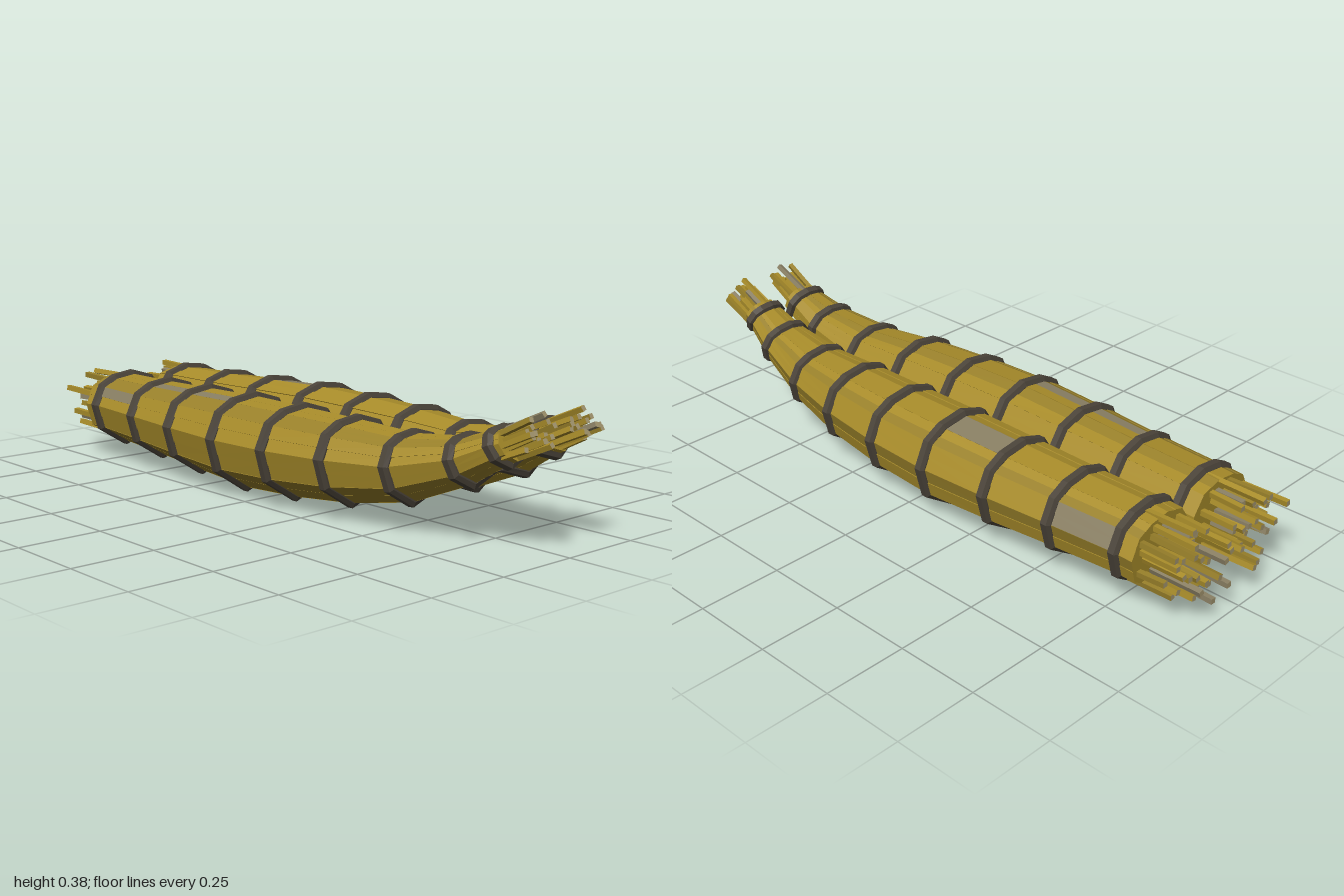
import * as THREE from 'three';

const mat = (name, color) => {
  const m = new THREE.MeshStandardMaterial({ color, flatShading: true });
  m.name = name;
  return m;
};

// stations along a bundle: z, centre x, half width, centre y, half height, tilt
const STATIONS = [
  [-0.83, 0.13, 0.126, 0.165, 0.113, 0],
  [-0.77, 0.13, 0.127, 0.167, 0.115, 0],
  [-0.55, 0.137, 0.133, 0.163, 0.122, 0],
  [-0.33, 0.145, 0.143, 0.16, 0.132, 0],
  [-0.10, 0.151, 0.149, 0.157, 0.142, 0],
  [0.12, 0.147, 0.145, 0.16, 0.135, 0],
  [0.34, 0.135, 0.132, 0.167, 0.122, 0.03],
  [0.55, 0.116, 0.108, 0.18, 0.096, 0.1],
  [0.74, 0.097, 0.082, 0.228, 0.066, 0.25],
  [0.85, 0.087, 0.062, 0.28, 0.05, 0.44],
  [0.88, 0.086, 0.058, 0.292, 0.047, 0.44],
];

// faceted cross-section, flattened on the inner side
const PROFILE = [
  [1, 0.15], [0.77, 0.66], [0.4, 0.87], [-0.15, 0.95], [-0.68, 0.77],
  [-0.98, 0.3], [-0.98, -0.57], [0.1, -1], [0.83, -0.5],
];

function seeded(seed) {
  return () => (seed = (seed * 16807) % 2147483647) / 2147483647;
}

// point at (u, v) of a station's section, grown outwards and moved along the bundle
function place(s, u, v, side, grow = 0, along = 0) {
  const [z, cx, rx, cy, ry, tilt] = s;
  const h = v * (ry + grow), c = Math.cos(tilt), n = Math.sin(tilt);
  return new THREE.Vector3(
    side * (cx + u * (rx + grow * 0.85)), cy + h * c + along * n, z - h * n + along * c);
}

// loft between rings of points; pick(i, j) chooses the bucket of each face
function loft(rings, flip, pick) {
  const buckets = {};
  const tri = (k, a, b, c) => {
    const list = (buckets[k] ??= []);
    for (const p of flip ? [a, c, b] : [a, b, c]) list.push(p.x, p.y, p.z);
  };
  const n = rings[0].length;
  for (let i = 0; i < rings.length - 1; i++) {
    for (let j = 0; j < n; j++) {
      const k = (j + 1) % n, a = rings[i], b = rings[i + 1], key = pick(i, j);
      tri(key, a[j], a[k], b[k]);
      tri(key, a[j], b[k], b[j]);
    }
  }
  // closed ends
  const centre = r => r.reduce((s, p) => s.add(p), new THREE.Vector3()).divideScalar(n);
  const first = rings[0], last = rings[rings.length - 1];
  const c0 = centre(first), c1 = centre(last);
  for (let j = 0; j < n; j++) {
    const k = (j + 1) % n;
    tri(pick(0, -1), c0, first[k], first[j]);
    tri(pick(0, -1), c1, last[j], last[k]);
  }
  return buckets;
}

function addMesh(group, name, positions, material) {
  const g = new THREE.BufferGeometry();
  g.setAttribute('position', new THREE.Float32BufferAttribute(positions, 3));
  g.computeVertexNormals();
  const m = new THREE.Mesh(g, material);
  m.name = name;
  group.add(m);
}

export function createModel() {
  const gold = mat('goldenReed', 0xa88c2a);
  const brown = mat('darkReed', 0x98802a);
  const grey = mat('greyReed', 0x8a8064);
  const rope = mat('darkRope', 0x4b443a);
  const tip = mat('cutReed', 0xa89a72);
  const reeds = { gold, brown, grey };
  const model = new THREE.Group();
  model.name = 'reedBoat';

  for (const side of [1, -1]) {
    const rand = seeded(side > 0 ? 1234 : 987);
    const bundle = new THREE.Group();
    bundle.name = side > 0 ? 'leftBundle' : 'rightBundle';
    model.add(bundle);

    // bundle body: two planks of reed per facet with tiny steps between them
    const outline = [], tones = [];
    PROFILE.forEach((p, f) => {
      const q = PROFILE[(f + 1) % PROFILE.length];
      const mid = [(p[0] + q[0]) / 2, (p[1] + q[1]) / 2];
      for (const [a, b] of [[p, mid], [mid, q]]) {
        const s = 0.97 + 0.03 * rand();
        outline.push([a[0] * s, a[1] * s], [b[0] * s, b[1] * s]);
        tones.push(rand() < 0.3 ? 'brown' : 'gold');
      }
    });
    const greyFaces = side > 0 ? ['0,1', '1,1', '4,3', '5,3'] : ['4,2', '4,3', '1,1'];
    const body = loft(
      STATIONS.map(s => outline.map(([u, v]) => place(s, u, v, side))), side < 0,
      (i, j) => {
        if (j < 0) return 'gold';
        const plank = Math.floor(j / 2);
        return greyFaces.includes(`${plank},${i}`) ? 'grey' : tones[plank];
      });
    for (const key in body) addMesh(bundle, `${key}Planks`, body[key], reeds[key]);

    // rope bands with bevelled edges
    for (const s of STATIONS.slice(1, -1)) {
      const rings = [[-0.017, -0.002], [-0.01, 0.012], [0.01, 0.012], [0.017, -0.002]].map(
        ([t, g]) => PROFILE.map(([u, v]) => place(s, u, v, side, g, t)));
      addMesh(bundle, 'ropeBand', loft(rings, side < 0, () => 'rope').rope, rope);
    }

    // loose reed ends
    const addReeds = (name, station, dir, count, min, max, width, spread) => {
      for (let i = 0; i < count; i++) {
        const r = spread * Math.sqrt((i + 0.5) / count), a = i * 2.39996 + rand() * 0.3;
        const u = r * Math.cos(a), v = r * Math.sin(a);
        const len = i === count - 1 ? max : min + (max - min) * rand();
        const start = place(station, u, v, side, 0, -0.05 * dir);
        const end = place(station, u, v, side, 0, len * dir);
        end.x += (rand() - 0.5) * 0.012;
        end.y += (rand() - 0.5) * 0.012;
        const tone = rand() < 0.2 ? grey : rand() < 0.4 ? brown : gold;
        const reed = new THREE.Mesh(
          new THREE.BoxGeometry(width, width, start.distanceTo(end)),
          [tone, tone, tone, tone, tip, tone]);
        reed.name = name;
        reed.position.copy(start).lerp(end, 0.5);
        reed.lookAt(end);
        reed.rotateZ((rand() - 0.5) * 0.8);
        bundle.add(reed);
      }
    };
    addReeds('frontReed', STATIONS[STATIONS.length - 1], 1, 20, 0.05, 0.115, 0.014, 0.88);
    addReeds('backReed', STATIONS[0], -1, 34, 0.07, 0.168, 0.016, 0.9);
  }
  return model;
}
